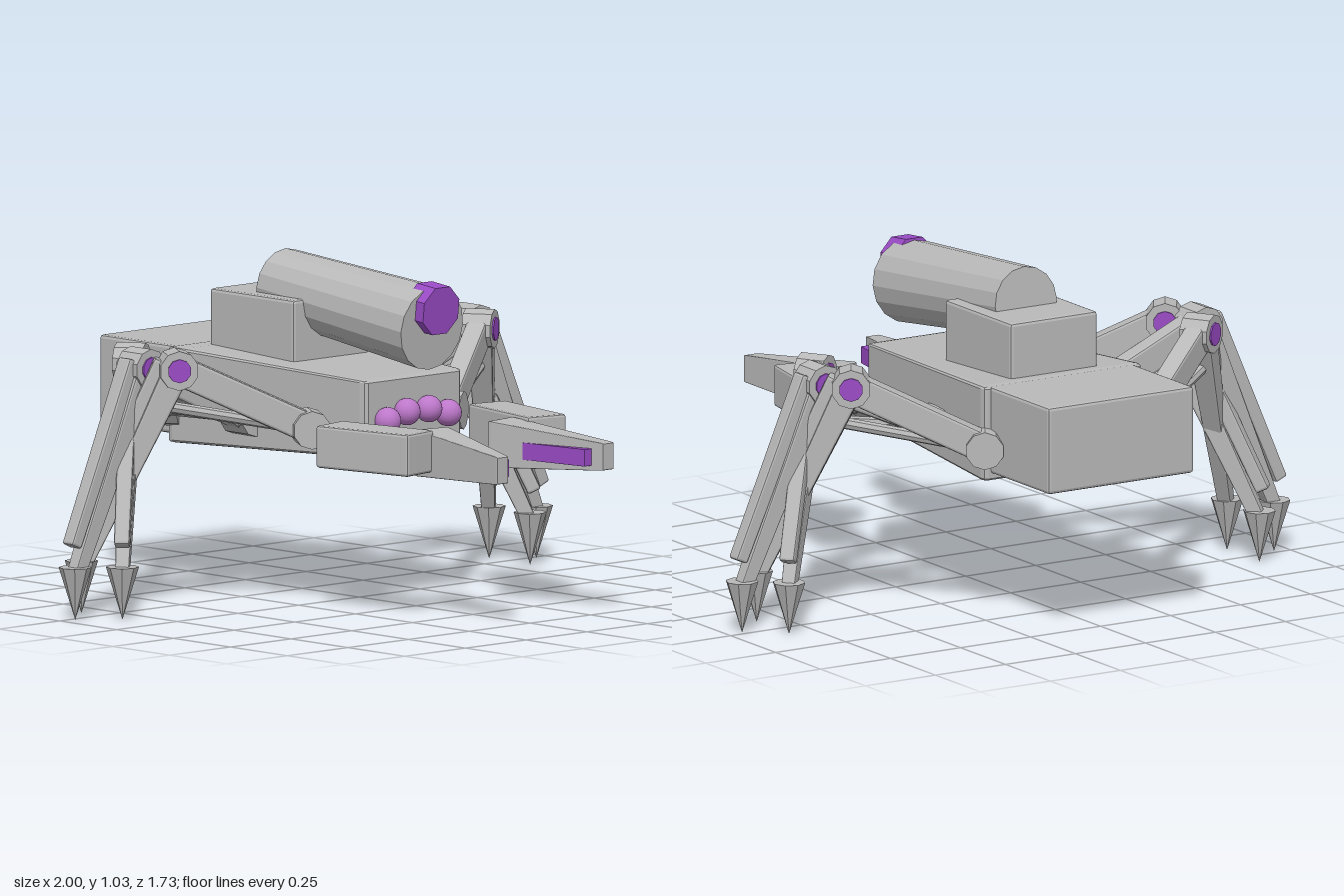
import * as THREE from 'three';
import { RoundedBoxGeometry } from 'three/addons/geometries/RoundedBoxGeometry.js';

const grey = new THREE.MeshStandardMaterial({ color: 0xb9b9b9, flatShading: true });
grey.name = 'grey armour';
const purple = new THREE.MeshStandardMaterial({ color: 0x9a4cc6, flatShading: true });
purple.name = 'purple glow';
const pink = new THREE.MeshStandardMaterial({ color: 0xbd78ca });
pink.name = 'pink eye';

const lerp = THREE.MathUtils.lerp;
const V = (x, y, z) => new THREE.Vector3(x, y, z);

function add(parent, name, geo, mat, pos) {
  const mesh = new THREE.Mesh(geo, mat);
  mesh.name = name;
  if (pos) mesh.position.copy(pos);
  parent.add(mesh);
  return mesh;
}

// Box with small chamfered edges
const box = (w, h, d, r = 0.008) => new RoundedBoxGeometry(w, h, d, 1, r);

// Chamfered box lofted between two upright rectangles {x0, x1, y0, y1, zl, zr}
function loft(back, front, r = 0.025) {
  const geo = box(1, 1, 1, r);
  const p = geo.attributes.position;
  for (let i = 0; i < p.count; i++) {
    const u = p.getX(i) + 0.5, v = p.getY(i) + 0.5, t = p.getZ(i) + 0.5;
    const at = (k) => lerp(back[k], front[k], t);
    p.setXYZ(i, lerp(at('x0'), at('x1'), u), lerp(at('y0'), at('y1'), v), lerp(at('zl'), at('zr'), u));
  }
  geo.computeVertexNormals();
  return geo;
}

// Upright rectangle, given for the left side and mirrored when s is -1
function section(s, xa, xb, y0, y1, za, zb = za) {
  return s > 0 ? { x0: xa, x1: xb, y0, y1, zl: za, zr: zb }
    : { x0: -xb, x1: -xa, y0, y1, zl: zb, zr: za };
}

// Turn a mesh so its y axis runs from a to b, and its x axis stays level
function span(mesh, a, b) {
  const dir = b.clone().sub(a).normalize();
  const side = V(0, 1, 0).cross(dir).normalize();
  const out = side.clone().cross(dir);
  mesh.quaternion.setFromRotationMatrix(new THREE.Matrix4().makeBasis(side, dir, out));
  mesh.position.copy(a).add(b).multiplyScalar(0.5);
}

// Bar from a to b, with its far end scaled by taper
function bar(parent, name, a, b, w, d, taper = 1) {
  const len = a.distanceTo(b);
  const geo = box(w, len, d);
  const p = geo.attributes.position;
  for (let i = 0; i < p.count; i++) {
    const k = lerp(1, taper, p.getY(i) / len + 0.5);
    p.setX(i, p.getX(i) * k);
    p.setZ(i, p.getZ(i) * k);
  }
  span(add(parent, name, geo, grey), a, b);
}

function rod(parent, name, a, b, r, mat, sides, r2 = r) {
  span(add(parent, name, new THREE.CylinderGeometry(r2, r, a.distanceTo(b), sides), mat), a, b);
}

function buildLeg(parent, s, name, hipAt, kneeAt, footAt) {
  const leg = new THREE.Group();
  leg.name = name;
  parent.add(leg);
  const [hip, knee, foot] = [hipAt, kneeAt, footAt].map(([x, y, z]) => V(s * x, y, z));
  const flat = knee.clone().sub(hip).setY(0).normalize();
  const axis = V(-flat.z, 0, flat.x);
  const joint = (part, c, r, half, mat) => rod(leg, part,
    c.clone().addScaledVector(axis, -half), c.clone().addScaledVector(axis, half), r, mat, 10);

  joint('hipJoint', hip, 0.058, 0.05, grey);
  bar(leg, 'upperLeg', hip, knee, 0.062, 0.09);
  joint('kneeJoint', knee, 0.06, 0.045, grey);
  joint('kneeLight', knee, 0.036, 0.05, purple);

  // Shin, its outer armour bar and the pointed foot
  const ankle = foot.clone().setY(0.13);
  const along = ankle.clone().sub(knee);
  const top = knee.clone().addScaledVector(along, -0.05);
  bar(leg, 'shin', top, ankle, 0.08, 0.085, 0.5);
  const outward = along.clone().setY(0).normalize().multiplyScalar(0.05);
  outward.y = 0.015;
  bar(leg, 'shinArmour', knee.clone().addScaledVector(along, -0.02).add(outward),
    knee.clone().addScaledVector(along, 0.87).add(outward), 0.055, 0.05, 0.85);
  add(leg, 'foot', new THREE.ConeGeometry(0.05, 0.16, 8).rotateX(Math.PI), grey, V(foot.x, 0.08, foot.z));

  // Thin piston under the upper leg
  rod(leg, 'piston', hip.clone().addScaledVector(flat, 0.02),
    knee.clone().addScaledVector(along, 0.18), 0.018, grey, 8);
}

export function createModel() {
  const model = new THREE.Group();
  model.name = 'spiderWalker';

  // Hull
  add(model, 'frontHull', loft(section(1, -0.285, 0.285, 0.44, 0.735, -0.545),
    section(1, -0.2, 0.2, 0.465, 0.7, 0.24), 0.03), grey);
  add(model, 'abdomen', box(0.52, 0.268, 0.4, 0.01), grey, V(0, 0.598, -0.666));
  add(model, 'turretBase', box(0.31, 0.2, 0.37, 0.01), grey, V(0, 0.802, -0.308));

  // Cannon, tilted down toward the front
  const rear = V(0, 0.916, -0.335), muzzle = V(0, 0.85, 0.319);
  rod(model, 'cannon', rear, muzzle, 0.11, grey, 16, 0.128);
  const aim = muzzle.clone().sub(rear).normalize();
  const lens = V(0, 0.911, 0.32);
  const lensMesh = add(model, 'cannonLens',
    new THREE.CylinderGeometry(0.078, 0.078, 0.08, 8).rotateY(Math.PI / 8), purple);
  span(lensMesh, lens.clone().addScaledVector(aim, -0.04), lens.clone().addScaledVector(aim, 0.04));

  for (const s of [1, -1]) {
    const side = s > 0 ? 'left' : 'right';

    // Eyes
    for (const [x, y] of [[0.045, 0.595], [0.125, 0.575]])
      add(model, side + 'Eye', new THREE.SphereGeometry(0.041, 20, 14), pink, V(s * x, y, 0.258));

    // Front pincers
    const arm = add(model, side + 'PincerArm', box(0.135, 0.128, 0.342), grey, V(s * 0.293, 0.519, 0.381));
    arm.rotation.y = -s * 0.19;
    add(model, side + 'PincerClaw', loft(section(s, 0.083, 0.2, 0.435, 0.577, 0.475, 0.455),
      section(s, 0.195, 0.24, 0.455, 0.538, 0.862)), grey);
    add(model, side + 'PincerBlade', loft(section(s, 0.115, 0.155, 0.468, 0.52, 0.58),
      section(s, 0.155, 0.205, 0.468, 0.52, 0.825), 0.01), purple);

    // Three legs, whose front and rear shins cross
    buildLeg(model, s, side + 'FrontLeg', [0.285, 0.55, 0.085], [0.625, 0.74, -0.135], [0.84, 0, -0.325]);
    buildLeg(model, s, side + 'MiddleLeg', [0.25, 0.55, -0.235], [0.68, 0.74, -0.235], [0.95, 0, -0.235]);
    buildLeg(model, s, side + 'RearLeg', [0.285, 0.55, -0.55], [0.625, 0.74, -0.335], [0.84, 0, -0.145]);
  }
  return model;
}
